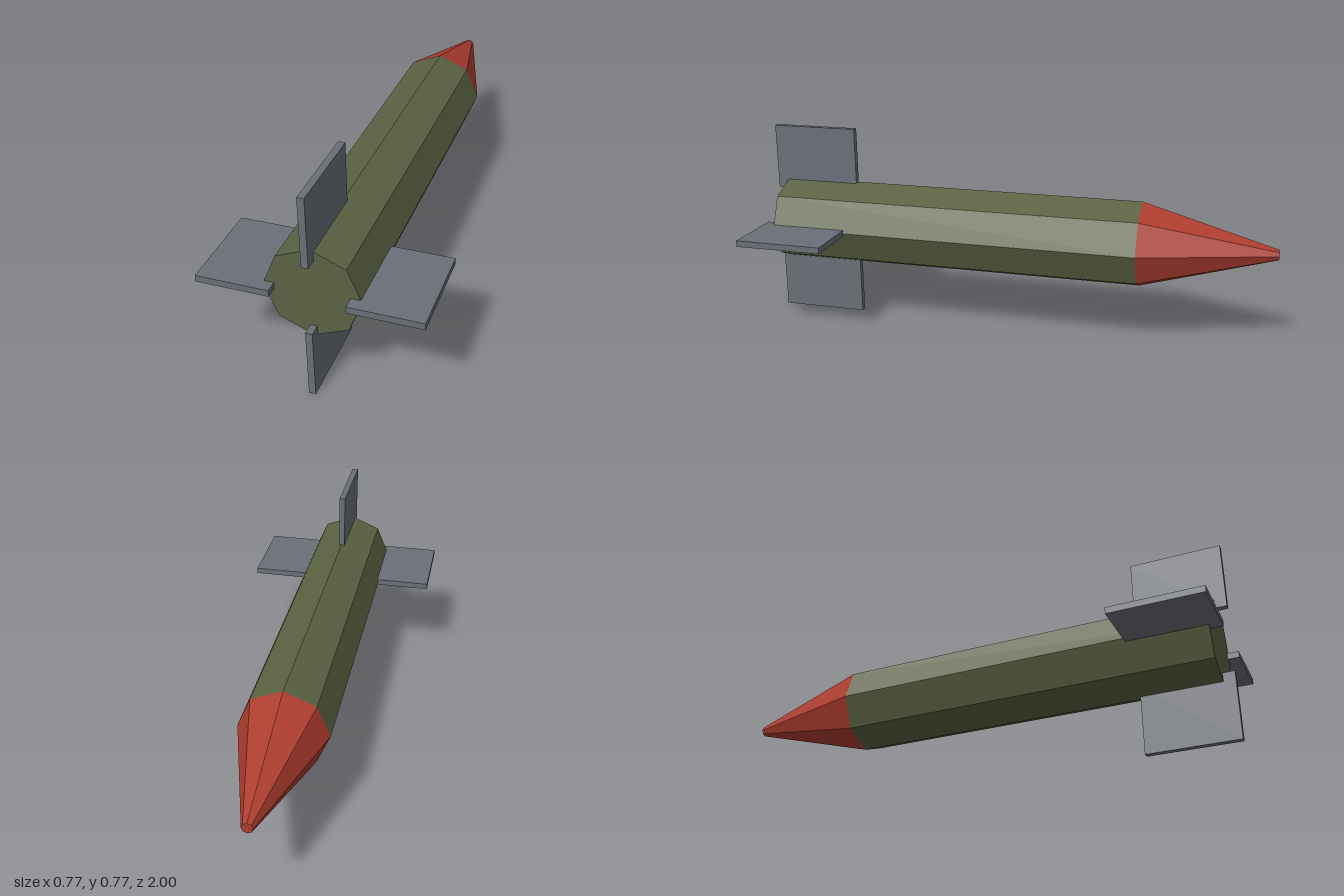
import * as THREE from 'three';

const AXIS_Y = 0.384;  // height of the rocket's long axis
const RADIUS = 0.168;

function material(name, color) {
  const m = new THREE.MeshStandardMaterial({ color, flatShading: true });
  m.name = name;
  return m;
}

// Eight-sided section along z, from the rear (+z) to the tip end (-z)
function section(name, rearRadius, tipRadius, zRear, zTip, mat) {
  const geometry = new THREE.CylinderGeometry(tipRadius, rearRadius, zRear - zTip, 8);
  geometry.rotateX(-Math.PI / 2);
  const mesh = new THREE.Mesh(geometry, mat);
  mesh.name = name;
  mesh.position.set(0, AXIS_Y, (zRear + zTip) / 2);
  return mesh;
}

export function createModel() {
  const model = new THREE.Group();
  model.name = 'rocket';
  const olive = material('olive', 0x5b6242);
  const red = material('red', 0xae3d2f);
  const grey = material('grey', 0x6a6f78);

  // Body and blunt-tipped nose
  model.add(section('body', RADIUS, RADIUS, 0.957, -0.49, olive));
  model.add(section('noseCone', RADIUS, 0.02, -0.49, -1, red));

  // Four flat fins, sunk into the body and reaching past its rear
  const finGeometry = new THREE.BoxGeometry(0.255, 0.024, 0.34);
  finGeometry.translate(0.2565, 0, 0.83);
  ['leftFin', 'topFin', 'rightFin', 'bottomFin'].forEach((name, i) => {
    const fin = new THREE.Mesh(finGeometry, grey);
    fin.name = name;
    fin.position.y = AXIS_Y;
    fin.rotation.z = (i * Math.PI) / 2;
    model.add(fin);
  });

  return model;
}
